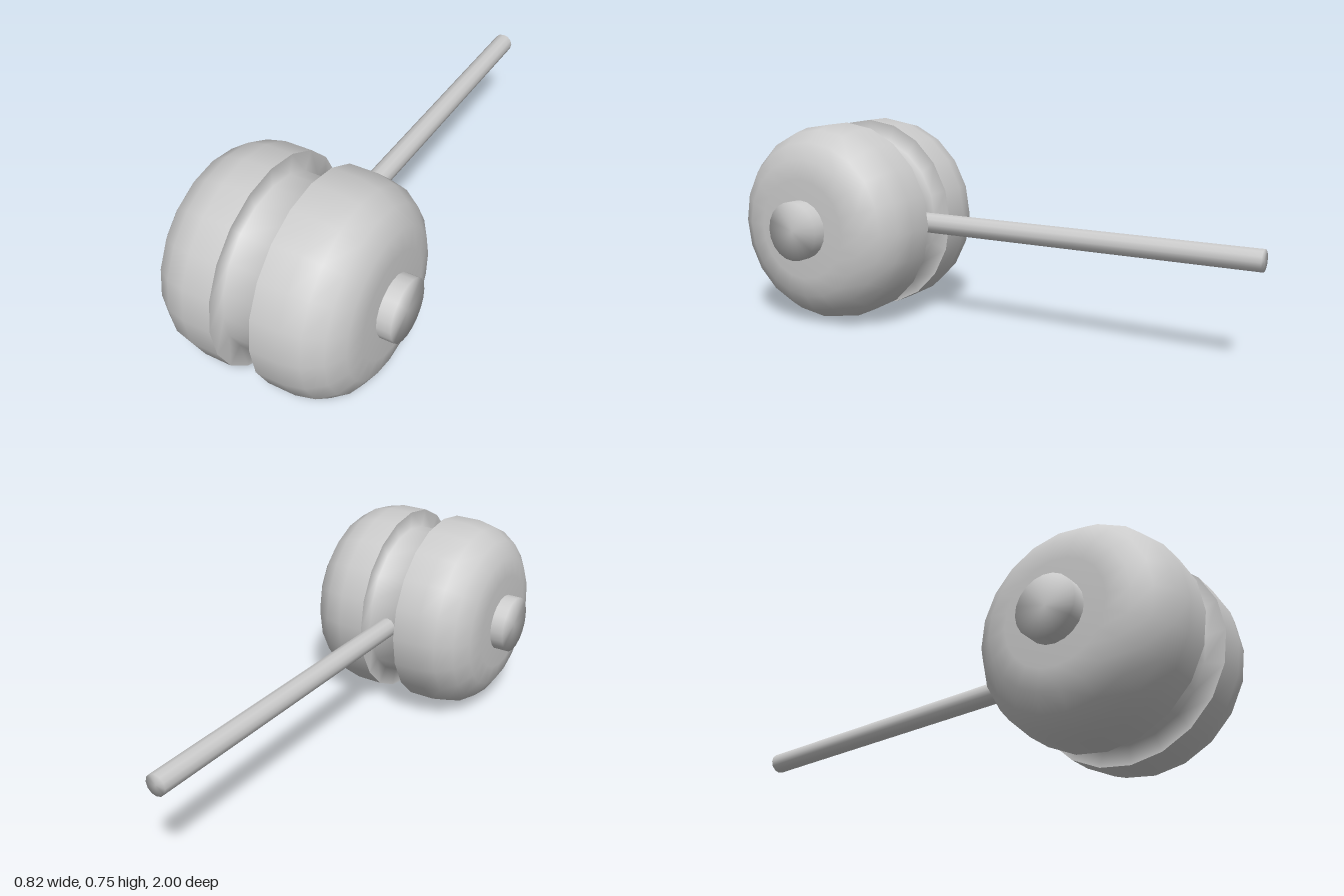
import * as THREE from 'three';

const material = new THREE.MeshStandardMaterial({ color: 0xcccccc });
const R = 0.375;          // wheel radius
const GAP = 0.073;        // half width of the groove
const CORE = 0.305;       // radius at the bottom of the groove

// Turned part from [radius, position along axis] pairs in ascending order
function turned(name, profile, sides) {
  const points = profile.map(([r, a]) => new THREE.Vector2(r, a));
  const mesh = new THREE.Mesh(new THREE.LatheGeometry(points, sides), material);
  mesh.name = name;
  return mesh;
}

export function createModel() {
  const model = new THREE.Group();
  model.name = 'roller';

  // Wheel assembly, turned about y and then laid along x
  const wheel = new THREE.Group();
  wheel.name = 'wheel';
  wheel.rotation.z = -Math.PI / 2;
  wheel.position.set(0, R, 0.625);
  model.add(wheel);

  // Rounded outer shells, one mirrored from the other
  const shell = [[R, GAP], [R, 0.175], [0.36, 0.243], [0.32, 0.303], [0.26, 0.343], [0.187, 0.357], [0, 0.357]];
  const mirrored = shell.map(([r, a]) => [r, -a]).reverse();
  wheel.add(turned('leftShell', shell, 20), turned('rightShell', mirrored, 20));

  // Groove walls and core
  wheel.add(turned('groove', [[R, -GAP], [CORE, -GAP], [CORE, GAP], [R, GAP]], 20));

  // Axle stub showing at both ends
  wheel.add(turned('axle', [[0, -0.408], [0.11, -0.408], [0.11, 0.408], [0, 0.408]], 20));

  // Rod running back from the groove
  const rod = turned('rod', [[0, -1], [0.039, -1], [0.039, 0.4], [0, 0.4]], 12);
  rod.rotation.x = Math.PI / 2;
  rod.position.y = R;
  model.add(rod);

  return model;
}
